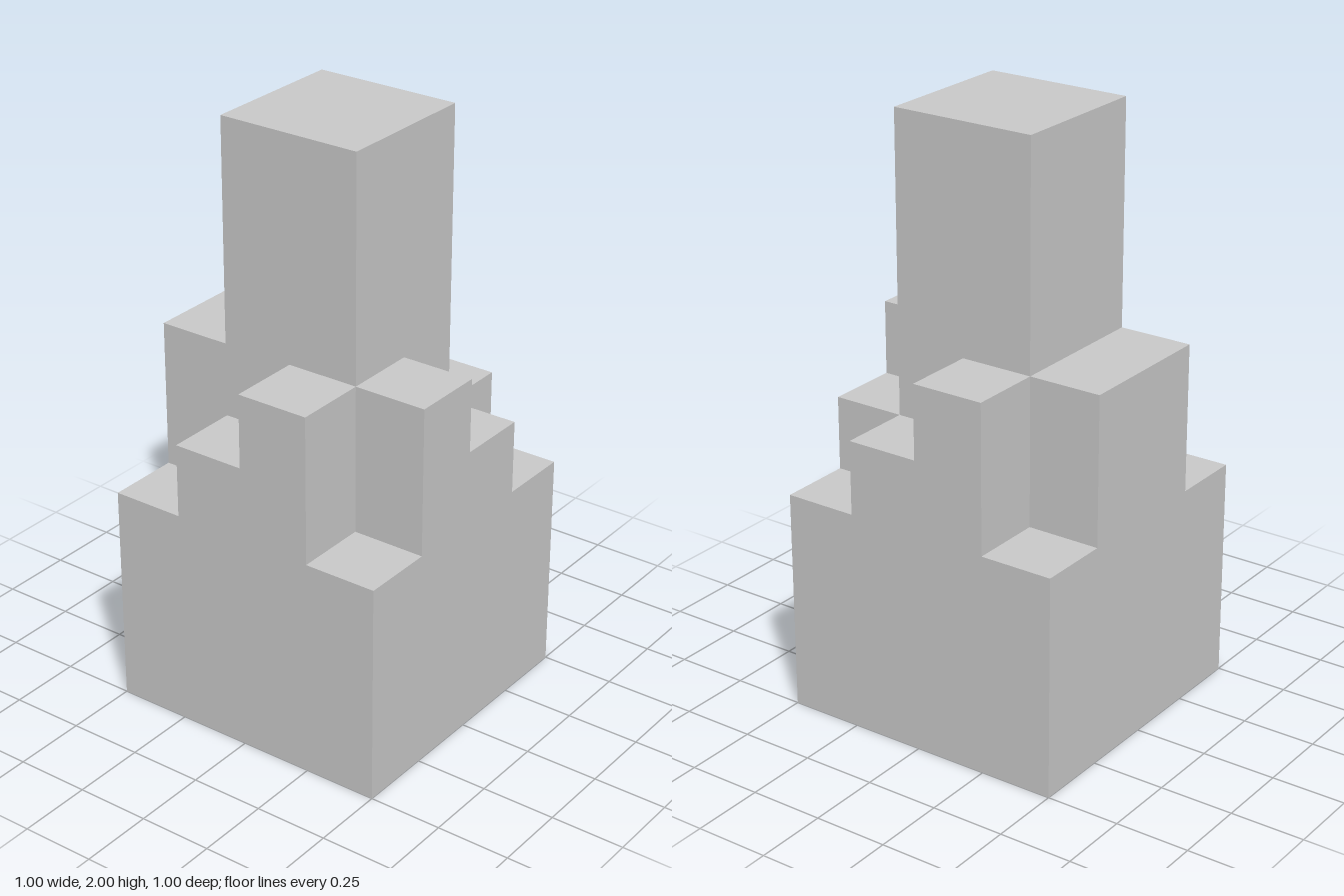
import * as THREE from 'three';

export function createModel() {
  const model = new THREE.Group();
  const material = new THREE.MeshStandardMaterial({ color: 0xcccccc, flatShading: true });

  // Box given by its x, y and z ranges
  function block(name, [x0, x1], [y0, y1], [z0, z1]) {
    const geometry = new THREE.BoxGeometry(x1 - x0, y1 - y0, z1 - z0);
    geometry.translate((x0 + x1) / 2, (y0 + y1) / 2, (z0 + z1) / 2);
    const mesh = new THREE.Mesh(geometry, material);
    mesh.name = name;
    model.add(mesh);
  }

  const baseTop = 0.75, low = 1, high = 1.25;
  const minus = [-0.25, 0], plus = [0, 0.25], middle = [-0.25, 0.25];
  const near = [0.25, 0.5], far = [-0.5, -0.25];

  // Square base and central tower
  block('base', [-0.5, 0.5], [0, baseTop], [-0.5, 0.5]);
  block('tower', middle, [baseTop, 2], middle);

  // Stepped buttresses on the front, back and left side
  block('frontLowStep', minus, [baseTop, low], near);
  block('frontHighStep', plus, [baseTop, high], near);
  block('backLowStep', plus, [baseTop, low], far);
  block('backHighStep', minus, [baseTop, high], far);
  block('leftLowStep', near, [baseTop, low], minus);
  block('leftHighStep', near, [baseTop, high], plus);

  // Full-width buttress on the right side
  block('rightButtress', far, [baseTop, high], middle);

  return model;
}
